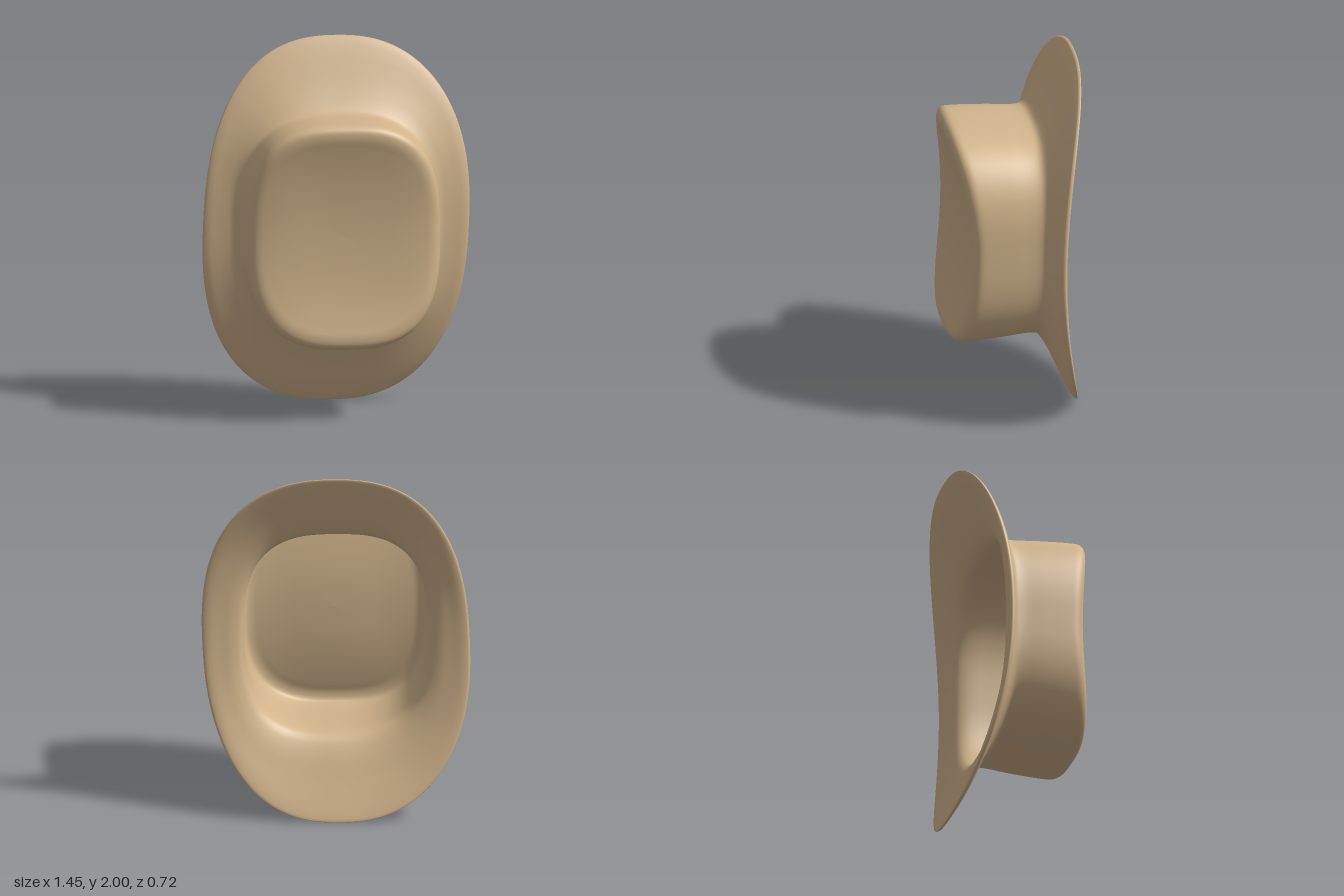
import * as THREE from 'three';

// Shell cross-section, from crown centre over the brim edge and back inside:
// [half width, half height, depth at the sides, depth at the top and bottom]
const OUTER = [
  [0, 0, 0.285, 0.285], [0.15, 0.18, 0.287, 0.292], [0.3, 0.36, 0.29, 0.315],
  [0.42, 0.49, 0.287, 0.342], [0.475, 0.55, 0.28, 0.355], [0.506, 0.592, 0.262, 0.35],
  [0.52, 0.613, 0.235, 0.325], [0.523, 0.616, 0.19, 0.27], [0.523, 0.605, 0.05, 0.08],
  [0.522, 0.592, -0.06, -0.07], [0.53, 0.597, -0.1, -0.115], [0.56, 0.635, -0.128, -0.15],
  [0.62, 0.74, -0.145, -0.21], [0.718, 0.992, -0.168, -0.335],
];
const INNER = [
  [0.722, 1.0, -0.182, -0.352], [0.71, 0.982, -0.194, -0.35], [0.62, 0.8, -0.185, -0.27],
  [0.55, 0.66, -0.17, -0.205], [0.51, 0.592, -0.145, -0.155], [0.495, 0.572, -0.09, -0.1],
  [0.495, 0.58, 0.05, 0.08], [0.495, 0.587, 0.19, 0.26], [0.482, 0.572, 0.23, 0.312],
  [0.45, 0.53, 0.25, 0.325], [0.4, 0.47, 0.257, 0.312], [0.28, 0.34, 0.262, 0.286],
  [0.15, 0.18, 0.26, 0.265], [0, 0, 0.258, 0.258],
];

// Sweeps the section round a rounded oval whose depth bends along y
function hatGeometry(section, rings, segments) {
  const size = new THREE.CatmullRomCurve3(section.map(([w, h, s]) => new THREE.Vector3(w, h, s)));
  const ends = new THREE.CatmullRomCurve3(section.map(([w, h, , e]) => new THREE.Vector3(w, h, e)));
  const positions = [];
  const index = [];
  const power = (v, n) => Math.sign(v) * Math.pow(Math.abs(v), 2 / n);

  for (let i = 0; i <= rings; i++) {
    const p = size.getPoint(i / rings);
    const end = ends.getPoint(i / rings).z;
    const brim = THREE.MathUtils.smoothstep(p.y, 0.6, 1);
    const n = 2.8 - 0.4 * brim;
    for (let j = 0; j < segments; j++) {
      const a = (j / segments) * Math.PI * 2;
      const u = power(Math.cos(a), n);
      const v = power(Math.sin(a), n);
      const y = p.y * v + 0.015 * (1 - brim);
      const x = p.x * u + 0.04 * brim * y * (1 - v * v * 0.7);
      const z = p.z + (end - p.z) * v * v - 0.008 * y;
      positions.push(x, y + 1, z);
      if (i < rings) {
        const k = (j + 1) % segments;
        const here = i * segments;
        const next = here + segments;
        index.push(here + j, next + j, next + k, here + j, next + k, here + k);
      }
    }
  }
  const geometry = new THREE.BufferGeometry();
  geometry.setAttribute('position', new THREE.Float32BufferAttribute(positions, 3));
  geometry.setIndex(index);
  geometry.computeVertexNormals();
  return geometry;
}

export function createModel() {
  const group = new THREE.Group();
  group.name = 'hat';
  const felt = new THREE.MeshStandardMaterial({ color: 0xd2b48c, side: THREE.DoubleSide });

  // Crown and curled brim as one closed felt shell
  const shell = new THREE.Mesh(hatGeometry([...OUTER, ...INNER], 108, 128), felt);
  shell.name = 'crownAndBrim';
  group.add(shell);
  return group;
}
